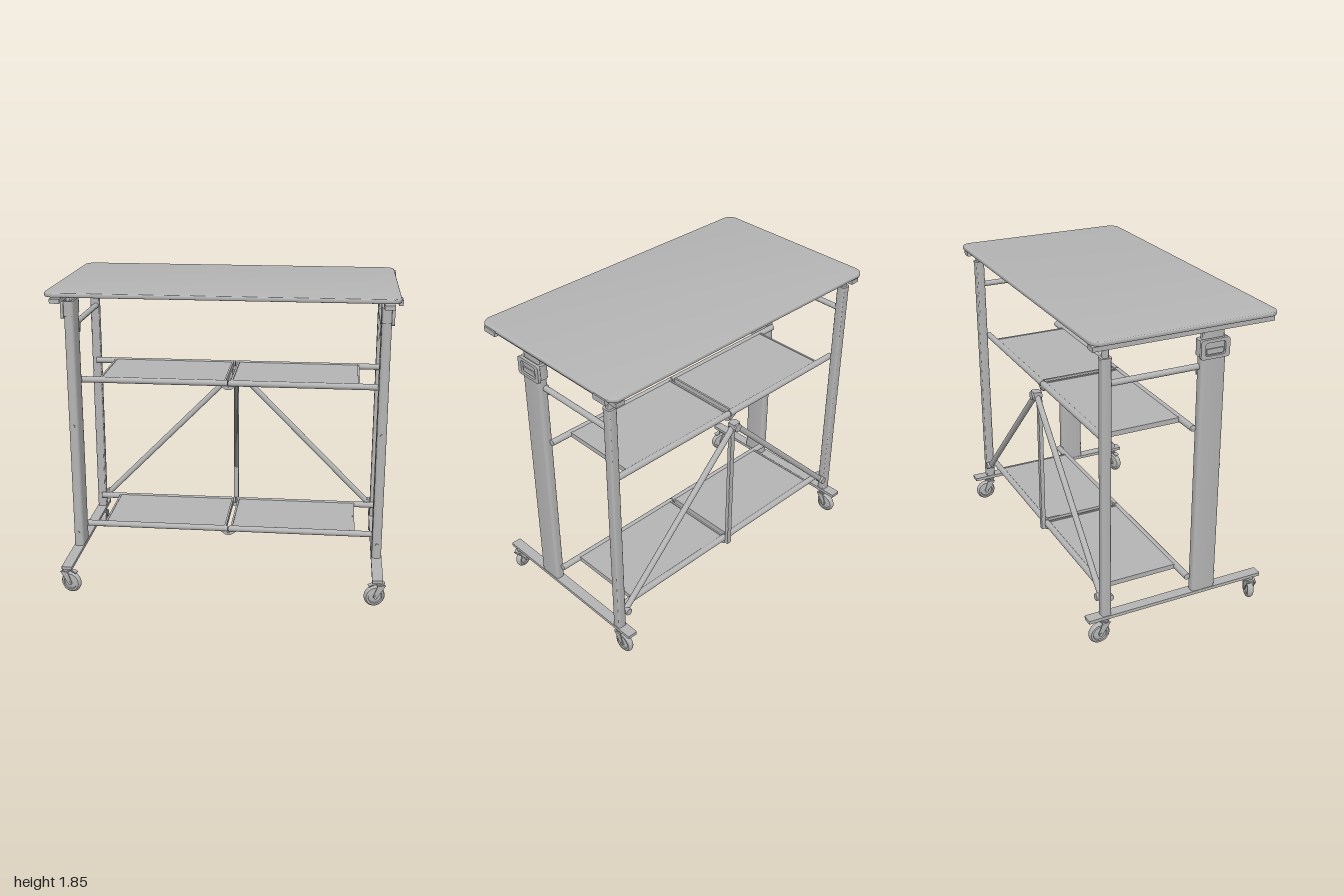
import * as THREE from 'three';
import { toCreasedNormals } from 'three/addons/utils/BufferGeometryUtils.js';

const grey = new THREE.MeshStandardMaterial({ color: 0xb4b4b4 });
grey.name = 'satin grey';

function add(parent, name, geometry, x = 0, y = 0, z = 0) {
  const mesh = new THREE.Mesh(geometry, grey);
  mesh.name = name;
  mesh.position.set(x, y, z);
  parent.add(mesh);
  return mesh;
}

const box = (w, h, d) => new THREE.BoxGeometry(w, h, d);

function roundRect(w, h, r, Type = THREE.Shape) {
  const s = new Type(), x = w / 2, y = h / 2;
  s.moveTo(-x + r, -y);
  s.lineTo(x - r, -y).absarc(x - r, -y + r, r, -Math.PI / 2, 0);
  s.lineTo(x, y - r).absarc(x - r, y - r, r, 0, Math.PI / 2);
  s.lineTo(-x + r, y).absarc(-x + r, y - r, r, Math.PI / 2, Math.PI);
  s.lineTo(-x, -y + r).absarc(-x + r, -y + r, r, Math.PI, Math.PI * 1.5);
  return s;
}

// Upright prism with a rounded rectangular plan, its base at y = 0
function prism(w, d, h, r, bevel = 0) {
  const g = new THREE.ExtrudeGeometry(roundRect(w - 2 * bevel, d - 2 * bevel, r), {
    depth: h - 2 * bevel, curveSegments: 8, bevelEnabled: bevel > 0,
    bevelSize: bevel, bevelThickness: bevel, bevelSegments: 3,
  });
  g.translate(0, 0, bevel).rotateX(-Math.PI / 2);
  return toCreasedNormals(g, 0.6);
}

// Round tube between two points
function rod(parent, name, a, b, r) {
  const from = new THREE.Vector3(...a), to = new THREE.Vector3(...b);
  const dir = to.clone().sub(from);
  const mesh = add(parent, name, new THREE.CylinderGeometry(r, r, dir.length(), 20));
  mesh.position.copy(from).add(to).multiplyScalar(0.5);
  mesh.quaternion.setFromUnitVectors(new THREE.Vector3(0, 1, 0), dir.normalize());
  return mesh;
}

// Flat outline extruded along z and centred on it
function plate(points, depth) {
  const s = new THREE.Shape(points.map(([x, y]) => new THREE.Vector2(x, y)));
  return new THREE.ExtrudeGeometry(s, { depth, bevelEnabled: false }).translate(0, 0, -depth / 2);
}

// Swivel caster trailing towards its own +x
function caster(parent, name, x, z, turn, brake) {
  const g = new THREE.Group();
  g.name = name;
  g.position.set(x, 0, z);
  g.rotation.y = turn;
  parent.add(g);
  const trail = 0.038, axle = 0.064;
  add(g, 'casterStem', new THREE.CylinderGeometry(0.012, 0.012, 0.03, 16), 0, 0.15, 0);
  add(g, 'swivelHead', new THREE.CylinderGeometry(0.026, 0.022, 0.014, 24), 0, 0.138, 0);
  add(g, 'forkCrown', box(0.046, 0.006, 0.054), 0.002, 0.13, 0);
  const cheek = [[-0.024, 0.133], [0.026, 0.133], [0.05, 0.075], [0.045, 0.054], [0.03, 0.054], [0.012, 0.082]];
  for (const s of [-1, 1]) add(g, 'forkCheek', plate(cheek, 0.005), 0, 0, s * 0.0255);
  const profile = [[0.012, -0.018], [0.04, -0.012], [0.043, -0.019], [0.055, -0.018], [0.062, -0.01], [0.064, 0],
    [0.062, 0.01], [0.055, 0.018], [0.043, 0.019], [0.04, 0.012], [0.012, 0.018]].map(p => new THREE.Vector2(...p));
  const wheel = toCreasedNormals(new THREE.LatheGeometry(profile, 32), 0.6).rotateX(Math.PI / 2);
  add(g, 'wheel', wheel, trail, axle, 0);
  add(g, 'axle', new THREE.CylinderGeometry(0.011, 0.011, 0.062, 16).rotateX(Math.PI / 2), trail, axle, 0);
  if (brake) add(g, 'brakeLever', box(0.03, 0.007, 0.03), 0.062, 0.134, 0).rotation.z = -0.35;
}

// One folding shelf: two rails, two panels, centre hinges
function shelf(parent, name, y) {
  const g = new THREE.Group();
  g.name = name;
  g.position.y = y;
  parent.add(g);
  const front = 0.083, rear = -0.41, mid = (front + rear) / 2;
  for (const z of [front, rear]) {
    for (const s of [-1, 1]) {
      rod(g, 'shelfRail', [s * 0.003, 0, z], [s * 0.925, 0, z], 0.019);
      add(g, 'railPivot', new THREE.CylinderGeometry(0.012, 0.012, 0.04, 16).rotateX(Math.PI / 2),
        s * 0.915, 0, z + (z > 0 ? 0.012 : -0.012));
    }
    add(g, 'centreHinge', plate([[-0.05, -0.016], [-0.015, -0.04], [0.015, -0.04], [0.05, -0.016]], 0.022), 0, 0, z);
    add(g, 'hingePin', new THREE.CylinderGeometry(0.008, 0.008, 0.03, 12).rotateX(Math.PI / 2), 0, -0.03, z);
  }
  for (const s of [-1, 1]) {
    add(g, 'shelfPanel', box(0.765, 0.02, 0.48), s * 0.405, 0.002, mid);
    add(g, 'innerShelfLip', box(0.012, 0.034, 0.47), s * 0.02, 0, mid);
    add(g, 'outerShelfLip', box(0.012, 0.03, 0.47), s * 0.79, 0, mid);
  }
}

// Side frame: foot, column, rear leg, latch and casters
function sideFrame(parent, s) {
  const g = new THREE.Group();
  g.name = s > 0 ? 'leftSideFrame' : 'rightSideFrame';
  parent.add(g);
  const x = s * 0.931;
  add(g, 'foot', prism(0.064, 1.13, 0.02, 0.006), x, 0.16, 0);
  add(g, 'column', prism(0.058, 0.152, 1.56, 0.02), x, 0.18, 0.175);
  add(g, 'columnInsert', prism(0.038, 0.136, 0.09, 0.014), x, 1.71, 0.175);
  add(g, 'rearLeg', prism(0.056, 0.055, 1.55, 0.012), x, 0.18, -0.452);
  add(g, 'rearLegCollar', prism(0.06, 0.06, 0.012, 0.014), x, 1.724, -0.452);
  add(g, 'rearLegInsert', prism(0.038, 0.036, 0.09, 0.01), x, 1.71, -0.452);
  rod(g, 'upperCrossbar', [s * 0.922, 1.583, 0.11], [s * 0.922, 1.583, -0.44], 0.0175);
  add(g, 'crossbarBracket', box(0.008, 0.06, 0.03), s * 0.902, 1.56, 0.115);
  add(g, 'topSupport', box(0.058, 0.026, 1.08), x, 1.796, 0.005);

  // Latch housing with a recessed handle opening
  add(g, 'latchHousing', prism(0.062, 0.172, 0.09, 0.02), x, 1.65, 0.173);
  const bezel = roundRect(0.176, 0.11, 0.016);
  bezel.holes.push(roundRect(0.122, 0.074, 0.014, THREE.Path));
  const bezelGeo = new THREE.ExtrudeGeometry(bezel, { depth: 0.018, bevelEnabled: false, curveSegments: 6 });
  bezelGeo.translate(0, 0, -0.009).rotateY(Math.PI / 2);
  add(g, 'latchBezel', bezelGeo, s * 0.966, 1.69, 0.173);
  add(g, 'latchHandle', box(0.012, 0.03, 0.1), s * 0.963, 1.675, 0.173);

  // Bolt heads on the column front
  for (const y of [0.268, 0.97, 1.655]) {
    add(g, 'bolt', new THREE.CylinderGeometry(0.01, 0.01, 0.008, 12).rotateX(Math.PI / 2), x, y, 0.253);
  }
  caster(g, 'frontCaster', s * 0.952, 0.51, s > 0 ? Math.PI + 0.28 : -0.28, true);
  caster(g, 'rearCaster', x, -0.452, Math.PI / 2, false);
}

export function createModel() {
  const model = new THREE.Group();
  model.name = 'foldingWorkTable';
  const table = new THREE.Group();
  table.name = 'table';
  table.position.x = -0.005;
  model.add(table);

  // Worktop with edge clips and a small stop below it
  add(table, 'worktop', prism(1.99, 1.11, 0.025, 0.055, 0.007), 0, 1.82, 0.005);
  for (const z of [-0.455, 0.465]) {
    add(table, 'edgeClip', box(0.024, 0.032, 0.095), 0.991, 1.818, z);
  }
  add(table, 'stopKnob', new THREE.CylinderGeometry(0.011, 0.011, 0.028, 16), -0.8, 1.808, -0.13);

  for (const s of [-1, 1]) sideFrame(table, s);
  shelf(table, 'upperShelf', 1.223);
  shelf(table, 'lowerShelf', 0.267);

  // Rear folding braces meeting at a sliding hub
  const brace = new THREE.Group();
  brace.name = 'rearBrace';
  table.add(brace);
  for (const s of [-1, 1]) {
    rod(brace, 'diagonalBrace', [s * 0.012, 1.155, -0.455], [s * 0.885, 0.272, -0.455], 0.018);
    add(brace, 'bracePivot', new THREE.CylinderGeometry(0.022, 0.022, 0.05, 16).rotateX(Math.PI / 2), s * 0.885, 0.272, -0.463);
  }
  add(brace, 'hub', prism(0.055, 0.05, 0.05, 0.012), 0, 1.135, -0.455);
  add(brace, 'hubPin', new THREE.CylinderGeometry(0.025, 0.025, 0.064, 20).rotateX(Math.PI / 2), 0, 1.16, -0.458);

  // Slotted centre strut with its slider rod
  for (const s of [-1, 1]) add(brace, 'strutFlange', box(0.007, 0.93, 0.024), s * 0.0125, 0.7, -0.436);
  add(brace, 'strutBack', box(0.025, 0.93, 0.005), 0, 0.7, -0.446);
  add(brace, 'strutLowerFace', box(0.02, 0.265, 0.005), 0, 0.3675, -0.427);
  rod(brace, 'sliderRod', [0, 0.5, -0.437], [0, 1.17, -0.437], 0.005);

  return model;
}
